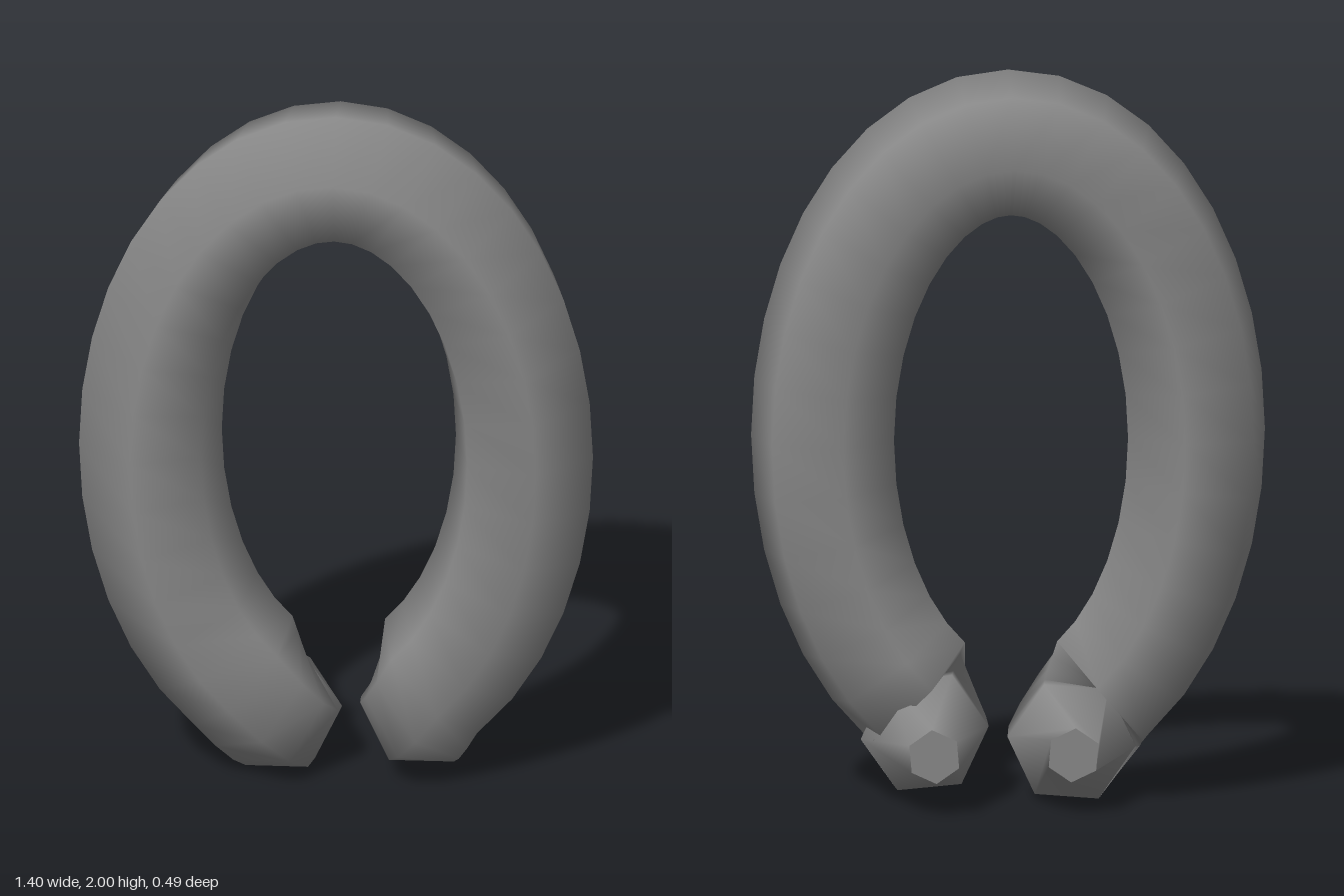
import * as THREE from 'three';

const SIDES = 6, RADIUS = 0.2, ROLL = 0.305;
const DEPTH = 0.045;            // z of the loop's centre line
const END = Math.PI / 6;        // where the oval stops, measured from the bottom
const Z = new THREE.Vector3(0, 0, 1);
const V = (x, y, z) => new THREE.Vector3(x, y, z);

// Six-sided ring of points around a centre, in the plane of n and b
function ring(center, n, b, r, twist = 0) {
  return Array.from({ length: SIDES }, (_, j) => {
    const a = ROLL + twist + (j / SIDES) * Math.PI * 2;
    return center.clone().addScaledVector(n, r * Math.cos(a)).addScaledVector(b, r * Math.sin(a));
  });
}

// Smooth skin through a list of rings
function loft(rings) {
  const index = [];
  for (let i = 0; i < rings.length - 1; i++) {
    for (let j = 0; j < SIDES; j++) {
      const k = (j + 1) % SIDES;
      const a = i * SIDES + j, b = i * SIDES + k, c = a + SIDES, d = b + SIDES;
      index.push(a, b, c, b, d, c);
    }
  }
  const geo = new THREE.BufferGeometry().setFromPoints(rings.flat());
  geo.setIndex(index);
  geo.computeVertexNormals();
  return geo;
}

// Oval centre line: point, outward normal and direction of travel at angle u
function oval(u) {
  return {
    p: V(0.51 * Math.sin(u), 1 - 0.81 * Math.cos(u), DEPTH),
    n: V(0.81 * Math.sin(u), -0.51 * Math.cos(u), 0).normalize(),
    t: V(-0.51 * Math.cos(u), -0.81 * Math.sin(u), 0).normalize(),
  };
}

// Rings of one end turning to the back and narrowing, with a twist, to its post tip
function endRings(u, sign, endCenter, tipCenter) {
  const { p, n, t } = oval(u);
  const dir = t.multiplyScalar(sign);
  const bend = [1, 2, 3, 4].map((i) => {
    const phi = (i / 4) * Math.PI / 2, s = Math.sin(phi), c = Math.cos(phi);
    const center = p.clone().lerp(endCenter, s);
    center.z = THREE.MathUtils.lerp(DEPTH, endCenter.z, 1 - c);
    const b = Z.clone().multiplyScalar(c).addScaledVector(dir, s);
    return ring(center, n, b, THREE.MathUtils.lerp(RADIUS, 0.175, i / 4));
  });
  const tip = ring(tipCenter, n, dir, 0.075, Math.PI / 6);
  return { rings: [...bend, tip], tip, center: ring(tipCenter, n, dir, 0) };
}

export function createModel() {
  const group = new THREE.Group();
  const material = new THREE.MeshStandardMaterial({ color: 0x878787 });
  const add = (name, rings) => {
    const mesh = new THREE.Mesh(loft(rings), material);
    mesh.name = name;
    group.add(mesh);
  };

  const rightEnd = endRings(-END, -1, V(-0.165, 0.16, -0.01), V(-0.155, 0.165, -0.245));
  const leftEnd = endRings(END - 2 * Math.PI, 1, V(0.235, 0.19, -0.01), V(0.225, 0.165, -0.245));

  // Open oval loop with both ends curling backwards into posts
  const steps = 30;
  const body = [];
  for (let i = 0; i <= steps; i++) {
    const { p, n } = oval(-END - (i / steps) * (2 * Math.PI - 2 * END));
    body.push(ring(p, n, Z, RADIUS));
  }
  add('ovalLoop', [...rightEnd.rings.slice().reverse(), ...body, ...leftEnd.rings]);

  // Flat post tips
  add('rightPostTip', [rightEnd.center, rightEnd.tip]);
  add('leftPostTip', [leftEnd.tip, leftEnd.center]);

  return group;
}
